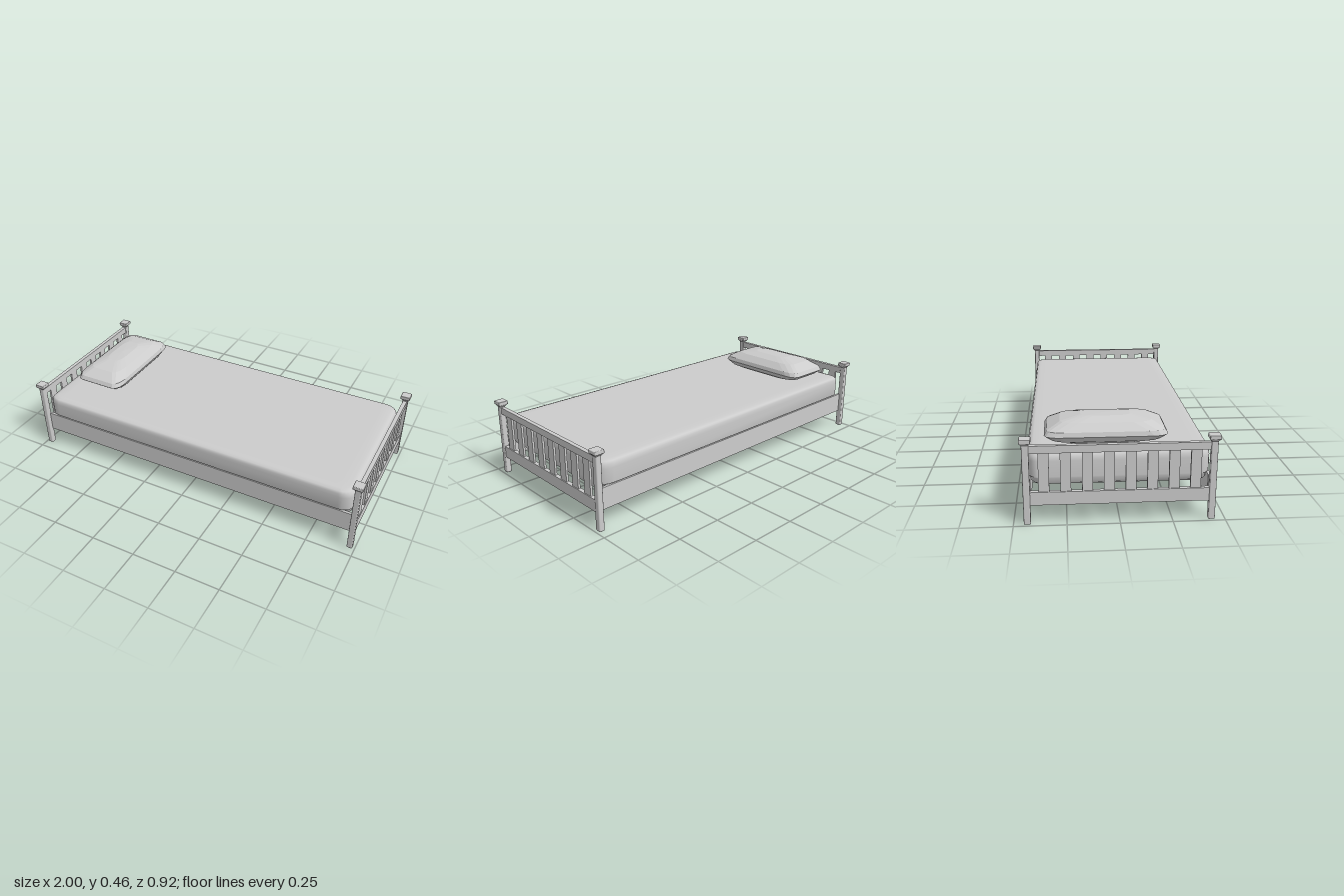
import * as THREE from 'three';
import { RoundedBoxGeometry } from 'three/addons/geometries/RoundedBoxGeometry.js';

// Stack of rounded-rectangle rings, bottom to top: [y, halfX, halfZ, cornerX, cornerZ]
function loft(rings, seg) {
  const pos = [], index = [], n = 4 * (seg + 1);
  for (const [y, hx, hz, rx, rz] of rings) {
    for (let k = 0; k < 4; k++) {
      const sx = k === 0 || k === 3 ? 1 : -1, sz = k < 2 ? 1 : -1;
      for (let s = 0; s <= seg; s++) {
        const t = (k + s / seg) * Math.PI / 2;
        pos.push(sx * (hx - rx) + rx * Math.cos(t), y, sz * (hz - rz) + rz * Math.sin(t));
      }
    }
  }
  for (let i = 0; i < rings.length - 1; i++) {
    for (let j = 0; j < n; j++) {
      const a = i * n + j, b = i * n + (j + 1) % n, c = a + n, d = b + n;
      index.push(a, c, b, b, c, d);
    }
  }
  const g = new THREE.BufferGeometry();
  g.setAttribute('position', new THREE.Float32BufferAttribute(pos, 3));
  g.setIndex(index);
  g.computeVertexNormals();
  return g;
}

export function createModel() {
  const bed = new THREE.Group();
  bed.name = 'bed';
  const grey = new THREE.MeshStandardMaterial({ color: 0xcccccc });
  grey.name = 'light grey';

  function add(parent, name, geometry, x = 0, y = 0, z = 0) {
    const mesh = new THREE.Mesh(geometry, grey);
    mesh.name = name;
    mesh.position.set(x, y, z);
    parent.add(mesh);
    return mesh;
  }
  const box = (parent, name, w, h, d, x, y, z) =>
    add(parent, name, new THREE.BoxGeometry(w, h, d), x, y, z);

  // Headboard (-x) and footboard (+x): posts, rails and slats
  for (const s of [-1, 1]) {
    const end = new THREE.Group();
    end.name = s < 0 ? 'headboard' : 'footboard';
    end.position.x = s * 0.973;
    bed.add(end);
    for (const z of [-0.435, 0.435]) {
      add(end, 'post', new RoundedBoxGeometry(0.031, 0.41, 0.033, 2, 0.006), 0, 0.205, z);
      // Flared neck below a square cap
      const neck = new THREE.CylinderGeometry(0.034, 0.022, 0.012, 4).toNonIndexed();
      neck.rotateY(Math.PI / 4);
      neck.computeVertexNormals();
      add(end, 'postNeck', neck, 0, 0.4, z);
      add(end, 'postCap', new RoundedBoxGeometry(0.054, 0.021, 0.054, 2, 0.004), 0, 0.4145, z);
    }
    box(end, 'topRail', 0.022, 0.037, 0.85, 0, 0.3715, 0);
    box(end, 'bottomRail', 0.022, 0.065, 0.85, 0, 0.1295, 0);
    for (let i = 0; i < 8; i++) {
      box(end, 'slat', 0.012, 0.2, 0.05, 0, 0.2575, (i - 3.5) * 0.101);
    }
  }

  // Long side rails
  for (const s of [-1, 1]) box(bed, 'sideRail', 1.91, 0.115, 0.015, 0, 0.1575, s * 0.4235);

  // Mattress with softened edges; its lower part sits between the rails
  add(bed, 'mattress', loft([
    [0.175, 0, 0, 0, 0],
    [0.175, 0.9, 0.39, 0.04, 0.04],
    [0.178, 0.925, 0.408, 0.06, 0.05],
    [0.19, 0.94, 0.418, 0.07, 0.05],
    [0.214, 0.945, 0.42, 0.07, 0.05],
    [0.222, 0.947, 0.432, 0.07, 0.05],
    [0.3, 0.947, 0.432, 0.07, 0.05],
    [0.322, 0.942, 0.431, 0.07, 0.05],
    [0.334, 0.932, 0.424, 0.06, 0.05],
    [0.339, 0.91, 0.405, 0.05, 0.04],
    [0.34, 0.86, 0.36, 0.03, 0.03],
    [0.34, 0, 0, 0, 0],
  ], 5));

  // Faceted pillow
  const pillow = loft([
    [0.339, 0, 0, 0, 0],
    [0.339, 0.1, 0.2, 0.06, 0.08],
    [0.358, 0.135, 0.265, 0.05, 0.08],
    [0.385, 0.15, 0.296, 0.04, 0.07],
    [0.408, 0.144, 0.283, 0.04, 0.08],
    [0.442, 0.105, 0.22, 0.04, 0.09],
    [0.46, 0.05, 0.12, 0.03, 0.06],
    [0.462, 0, 0, 0, 0],
  ], 3).toNonIndexed();
  pillow.computeVertexNormals();
  add(bed, 'pillow', pillow, -0.725, 0, -0.055);

  return bed;
}
